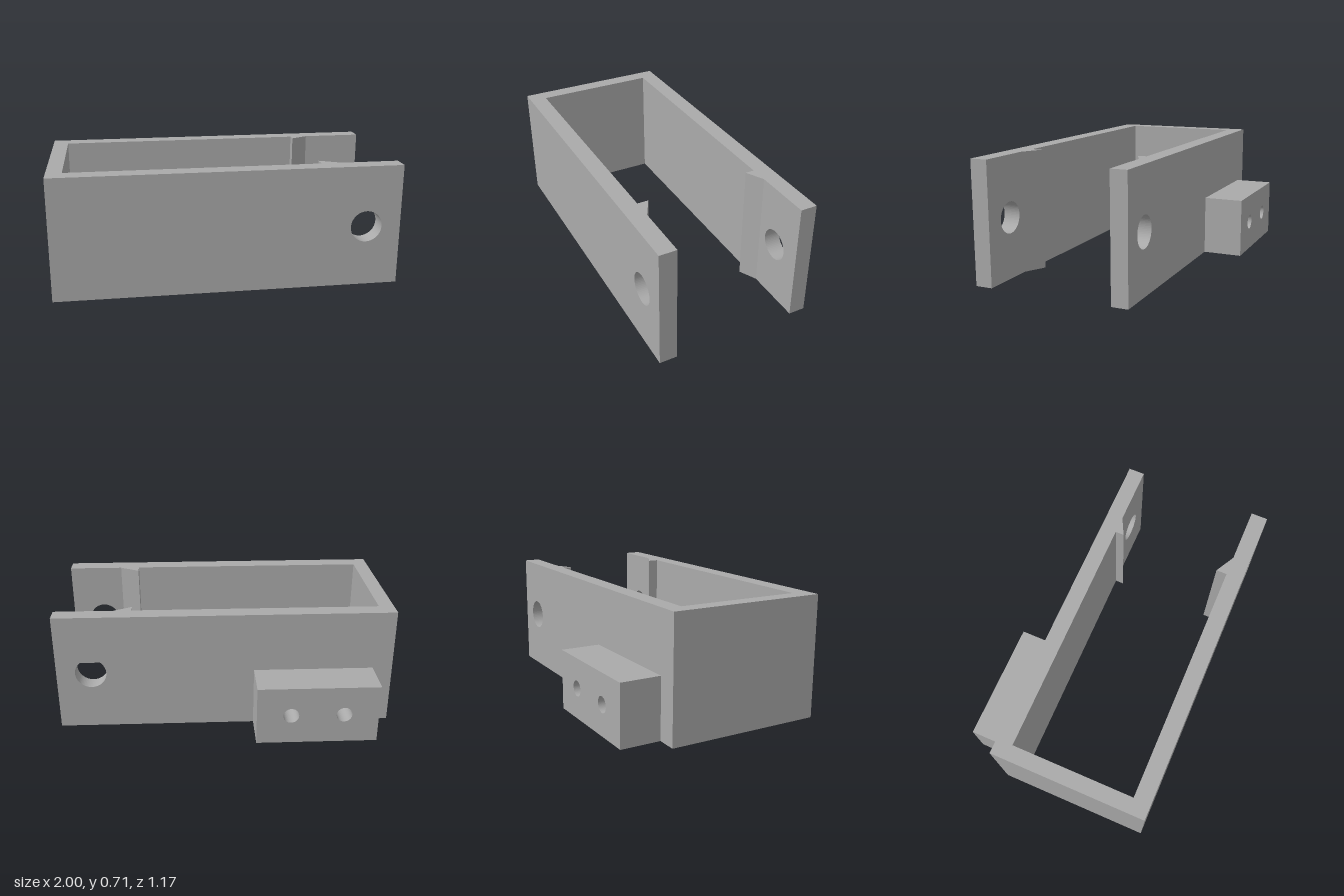
import * as THREE from 'three';

const H = 0.715; // bracket height

// Upright rectangular plate in x/y with round holes, extruded from z0 to z1
function plate(x0, x1, height, z0, z1, holes) {
  const s = new THREE.Shape();
  s.moveTo(x0, 0);
  s.lineTo(x1, 0);
  s.lineTo(x1, height);
  s.lineTo(x0, height);
  s.closePath();
  for (const [x, y, r] of holes) {
    s.holes.push(new THREE.Path().absarc(x, y, r, 0, Math.PI * 2, true));
  }
  const g = new THREE.ExtrudeGeometry(s, { depth: z1 - z0, bevelEnabled: false, curveSegments: 32 });
  return g.translate(0, 0, z0);
}

// Plan outline of [x, z] points extruded up to the full height
function prism(points) {
  const s = new THREE.Shape(points.map(([x, z]) => new THREE.Vector2(x, -z)));
  return new THREE.ExtrudeGeometry(s, { depth: H, bevelEnabled: false }).rotateX(-Math.PI / 2);
}

export function createModel() {
  const group = new THREE.Group();
  const grey = new THREE.MeshStandardMaterial({ color: 0xaaaaaa });
  grey.name = 'grey';

  const add = (name, geometry) => {
    const mesh = new THREE.Mesh(geometry, grey);
    mesh.name = name;
    group.add(mesh);
  };

  // Two long walls with aligned pin holes, joined by the end wall
  const pinHole = [0.797, H / 2, 0.092];
  add('frontWall', plate(-1, 1, H, 0.483, 0.585, [pinHole]));
  add('backWall', plate(-1, 1, H, -0.346, -0.248, [pinHole]));
  add('endWall', prism([[-1, -0.248], [-0.91, -0.248], [-0.91, 0.483], [-1, 0.483]]));

  // Sawtooth catches on the inner faces
  add('frontCatch', prism([[0.545, 0.483], [0.545, 0.418], [0.665, 0.483]]));
  add('backCatch', prism([[0.545, -0.248], [0.545, -0.195], [0.65, -0.248]]));

  // Mounting block with two screw holes ending at the back wall
  const screws = [-0.37, -0.68].map((x) => [x, 0.18, 0.046]);
  add('mountingBlock', plate(-0.883, -0.17, H / 2, -0.585, -0.346, screws));

  return group;
}
